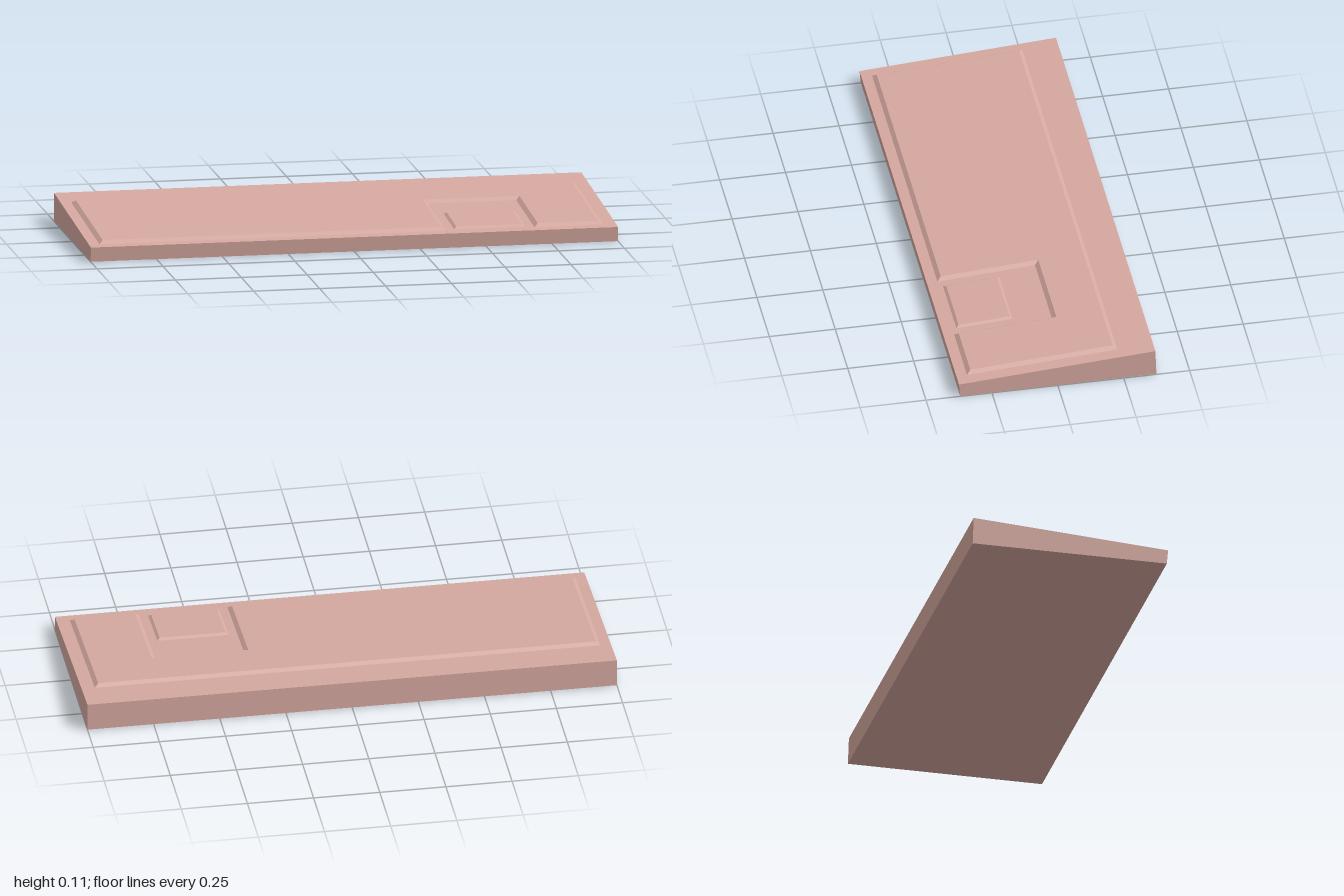
import * as THREE from 'three';

const material = new THREE.MeshStandardMaterial({ color: 0xd6a9a0, flatShading: true });

// Height of the sloping top face of the body at depth z
const topHeight = (z) => 0.055 + (0.375 - z) * (0.053 / 0.745);

function shapeFrom(points) {
  return new THREE.Shape(points.map(([a, b]) => new THREE.Vector2(a, b)));
}

// Chamfered plate with an (x, z) outline, laid on the sloping top face
function raisedPlate(name, outline, height, chamfer) {
  const sunk = 0.008;
  const geometry = new THREE.ExtrudeGeometry(shapeFrom(outline.map(([x, z]) => [x, -z])), {
    depth: sunk,
    bevelEnabled: true,
    bevelSegments: 1,
    bevelThickness: height,
    bevelSize: chamfer,
    bevelOffset: -chamfer,
  });
  geometry.translate(0, 0, -sunk);
  geometry.rotateX(-Math.PI / 2);
  const p = geometry.attributes.position;
  for (let i = 0; i < p.count; i++) p.setY(i, p.getY(i) + topHeight(p.getZ(i)));
  geometry.computeVertexNormals();
  const mesh = new THREE.Mesh(geometry, material);
  mesh.name = name;
  return mesh;
}

export function createModel() {
  const group = new THREE.Group();
  group.name = 'wedgePanel';

  // Wedge body: (z, y) side profile swept across the width
  const profile = [[0.37, 0], [0.375, 0.055], [-0.37, 0.108], [-0.374, 0.003]];
  const bodyGeometry = new THREE.ExtrudeGeometry(shapeFrom(profile), { depth: 2, bevelEnabled: false });
  bodyGeometry.translate(0, 0, -1);
  bodyGeometry.rotateY(-Math.PI / 2);
  const body = new THREE.Mesh(bodyGeometry, material);
  body.name = 'wedgeBody';
  group.add(body);

  // Large raised deck with a notch in its front edge
  group.add(raisedPlate('raisedDeck', [
    [-0.96, 0.335], [0.355, 0.335], [0.355, -0.035], [0.69, -0.035],
    [0.69, 0.335], [0.95, 0.335], [0.95, -0.235], [-0.96, -0.235],
  ], 0.011, 0.015));

  // Small raised pad inside the notch
  group.add(raisedPlate('notchPad', [
    [0.388, 0.32], [0.657, 0.32], [0.657, 0.107], [0.388, 0.107],
  ], 0.007, 0.01));

  return group;
}
